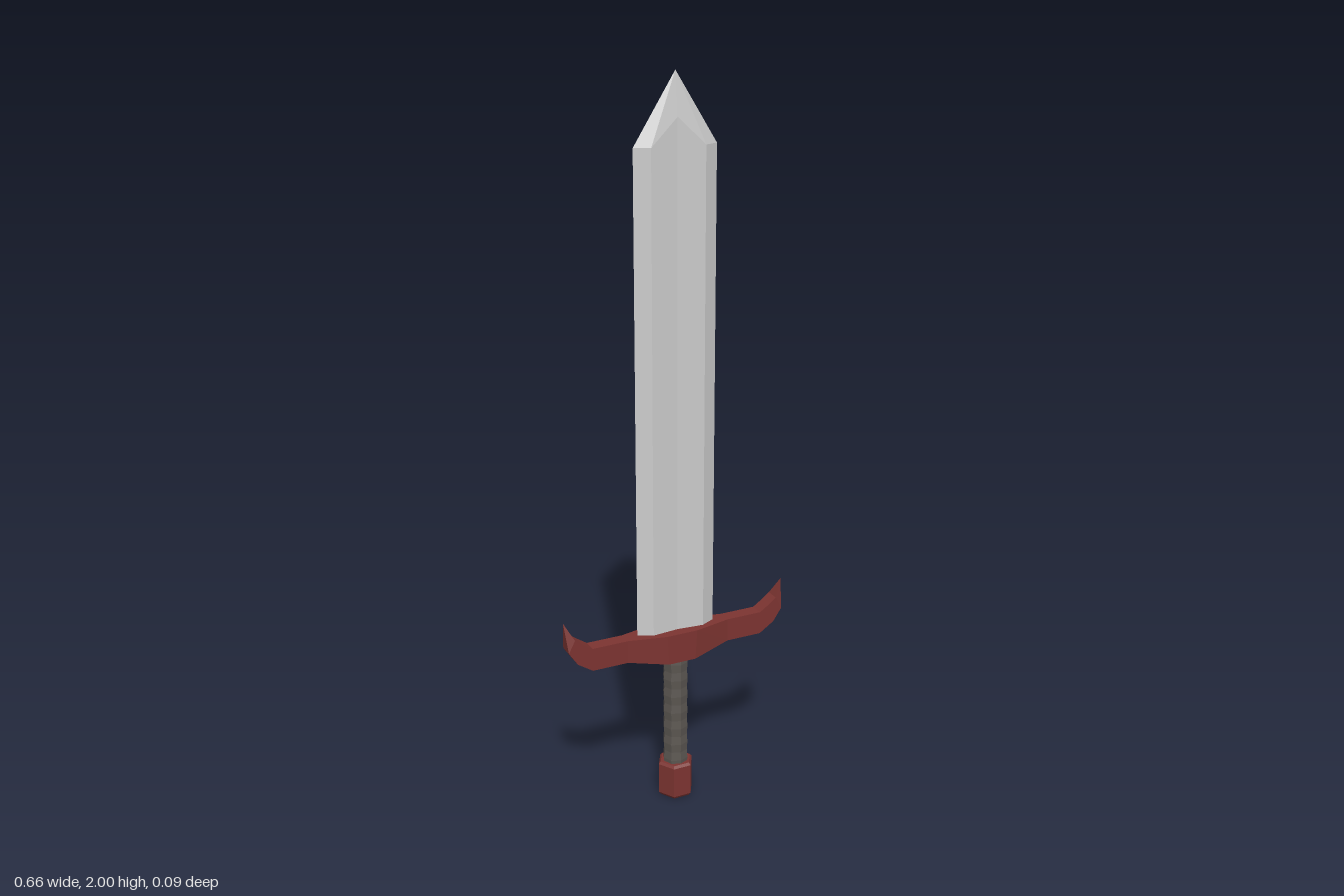
import * as THREE from 'three';

const material = (color) => new THREE.MeshStandardMaterial({ color, flatShading: true });

// Skins a row of equal-length point loops and caps both ends.
// Loops run counter-clockwise when seen from the far end of the row.
function loft(sections) {
  const n = sections[0].length;
  const index = [];
  sections.slice(1).forEach((_, s) => {
    for (let i = 0; i < n; i++) {
      const a = s * n + i, b = s * n + (i + 1) % n;
      index.push(a, b, b + n, a, b + n, a + n);
    }
  });
  const last = (sections.length - 1) * n;
  for (let i = 1; i < n - 1; i++) {
    index.push(0, i + 1, i, last, last + i, last + i + 1);
  }
  const geometry = new THREE.BufferGeometry();
  geometry.setAttribute('position', new THREE.Float32BufferAttribute(sections.flat(2), 3));
  geometry.setIndex(index);
  const flat = geometry.toNonIndexed();
  flat.computeVertexNormals();
  return flat;
}

export function createModel() {
  const group = new THREE.Group();
  const red = material(0x7c3431);
  const add = (name, geometry, mat) => {
    const mesh = new THREE.Mesh(geometry, mat);
    mesh.name = name;
    group.add(mesh);
    return mesh;
  };

  // Blade: bevelled edges and a shallow central groove that ends below the tip
  const outline = [
    [0.115, 0], [0.075, -0.02], [0, -0.013], [-0.075, -0.02],
    [-0.115, 0], [-0.075, 0.02], [0, 0.013], [0.075, 0.02],
  ];
  const shoulder = ([x, z]) => [x, x === 0 ? 1.89 : 1.82, z];
  add('blade', loft([
    outline.map(([x, z]) => [x, 0.49, z]),
    outline.map(shoulder),
    outline.map(() => [0, 2, 0]),
  ]), material(0xcccccc));

  // Crossguard: [top x, top y, bottom x, bottom y, half depth] from centre to horn
  const half = [
    [0.045, 0.515, 0.04, 0.43, 0.044],
    [0.152, 0.515, 0.152, 0.45, 0.02],
    [0.255, 0.515, 0.255, 0.45, 0.02],
    [0.285, 0.535, 0.298, 0.478, 0.02],
    [0.305, 0.55, 0.323, 0.515, 0.02],
    [0.33, 0.597, 0.33, 0.597, 0],
  ];
  const mirrored = half.map(([tx, ty, bx, by, d]) => [-tx, ty, -bx, by, d]).reverse();
  add('crossguard', loft([...mirrored, ...half].map(([tx, ty, bx, by, d]) => [
    [bx, by, d], [bx, by, -d], [tx, ty, -d], [tx, ty, d],
  ])), red);

  // Grip: wrapped bands, each swelling slightly
  const profile = [];
  const bands = 7, bottom = 0.09, top = 0.44;
  for (let i = 0; i <= bands * 2; i++) {
    profile.push(new THREE.Vector2(i % 2 ? 0.036 : 0.034, bottom + (top - bottom) * i / (bands * 2)));
  }
  add('grip', new THREE.LatheGeometry(profile, 8), material(0x5c5752));

  // Pommel: six-sided block with slightly chamfered ends
  const pommelProfile = [[0, 0], [0.046, 0], [0.052, 0.008], [0.052, 0.098], [0.046, 0.105], [0, 0.105]]
    .map(([r, y]) => new THREE.Vector2(r, y));
  add('pommel', new THREE.LatheGeometry(pommelProfile, 6, Math.PI / 2), red);

  return group;
}
